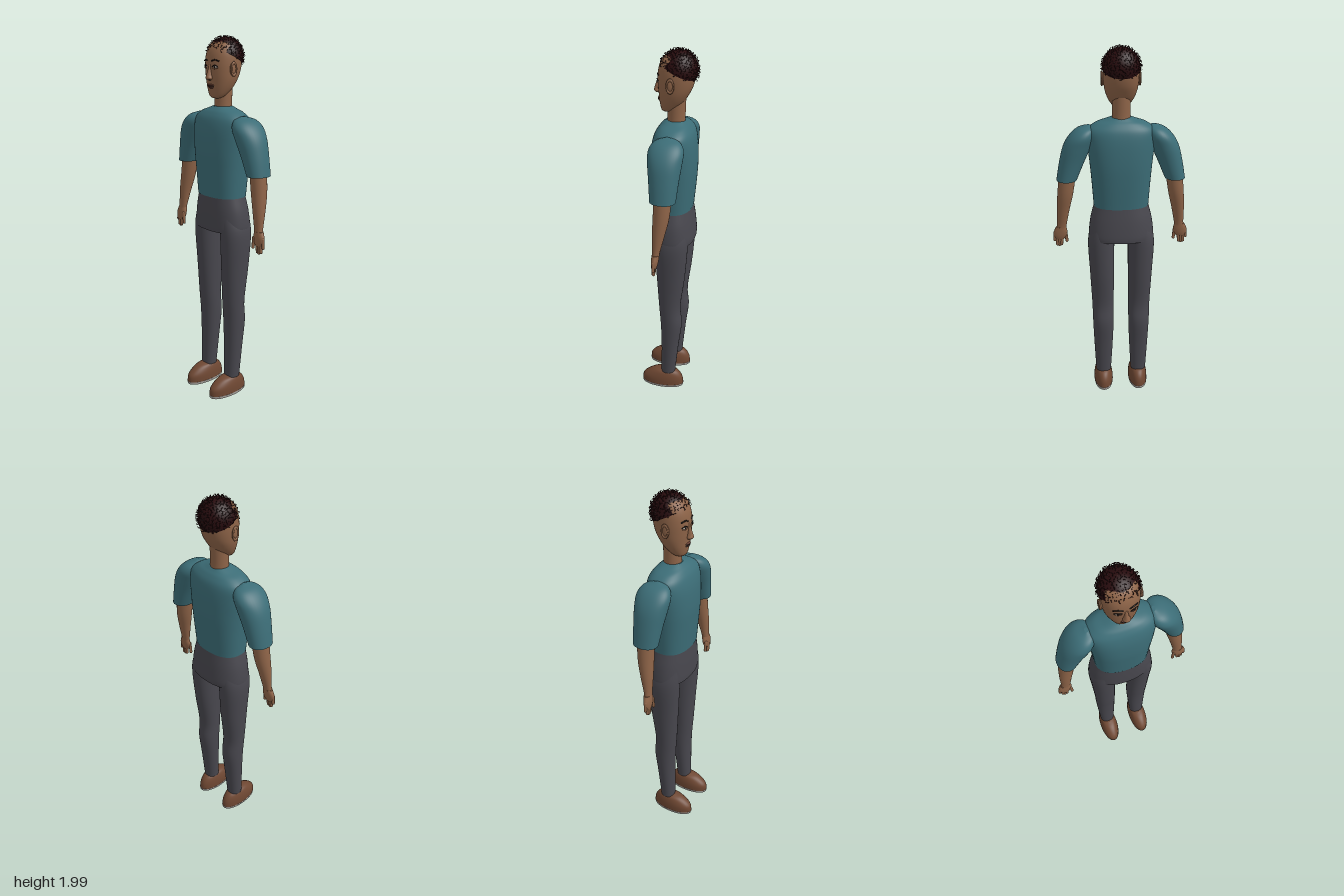
import * as THREE from 'three';
import { mergeGeometries } from 'three/addons/utils/BufferGeometryUtils.js';

const mat = (name, color) => {
  const m = new THREE.MeshStandardMaterial({ color });
  m.name = name;
  return m;
};

// Smooth stack of rounded cross-sections: rows of [y, centreX, centreZ, radiusX, radiusZ], bottom to top
function loft(rows, power = 2, seg = 36, steps = 5) {
  const mid = new THREE.CatmullRomCurve3(rows.map(r => new THREE.Vector3(r[1], r[0], r[2])), false, 'catmullrom');
  const rad = new THREE.CatmullRomCurve3(rows.map(r => new THREE.Vector3(r[3], 0, r[4])), false, 'catmullrom');
  const pos = [], idx = [], n = (rows.length - 1) * steps;
  const sp = v => Math.sign(v) * Math.pow(Math.abs(v), 2 / power);
  const ring = t => {
    const c = mid.getPoint(t), r = rad.getPoint(t);
    for (let j = 0; j < seg; j++) {
      const a = j / seg * Math.PI * 2;
      pos.push(c.x + r.x * sp(Math.cos(a)), c.y, c.z + r.z * sp(Math.sin(a)));
    }
    return c;
  };
  for (let i = 0; i <= n; i++) ring(i / n);
  for (let i = 0; i < n; i++) for (let j = 0; j < seg; j++) {
    const k = (j + 1) % seg, a = i * seg, b = a + seg;
    idx.push(a + j, b + j, a + k, a + k, b + j, b + k);
  }
  // end caps with their own vertices, so the rims stay sharp
  for (const t of [0, 1]) {
    const s = pos.length / 3, c = ring(t);
    pos.push(c.x, c.y, c.z);
    for (let j = 0; j < seg; j++) {
      const k = (j + 1) % seg;
      if (t) idx.push(s + seg, s + k, s + j); else idx.push(s + seg, s + j, s + k);
    }
  }
  const g = new THREE.BufferGeometry();
  g.setAttribute('position', new THREE.Float32BufferAttribute(pos, 3));
  g.setIndex(idx);
  g.computeVertexNormals();
  return g;
}

const ball = (x, y, z, rx, ry, rz) => new THREE.SphereGeometry(1, 20, 14).scale(rx, ry, rz).translate(x, y, z);
const tube = (pts, r) => new THREE.TubeGeometry(
  new THREE.CatmullRomCurve3(pts.map(p => new THREE.Vector3(...p))), 10, r, 6);

export function createModel() {
  const M = {
    skin: mat('skin', 0x8e6448), shirt: mat('teal shirt', 0x3c6d77), pants: mat('grey trousers', 0x48474e),
    shoe: mat('brown shoe', 0x6e4732), sole: mat('pale sole', 0xa8a39e), hair: mat('dark hair', 0x280c0e),
    dark: mat('dark detail', 0x17100e), white: mat('eye white', 0xc4b8ac), lip: mat('lip', 0x6a4034),
  };
  const model = new THREE.Group();
  const add = (name, geo, m, parent = model) => {
    const mesh = new THREE.Mesh(geo, m);
    mesh.name = name;
    parent.add(mesh);
    return mesh;
  };

  // Clothes on the trunk
  add('shirtBody', loft([
    [1.155, 0, -0.024, 0.147, 0.102], [1.3, 0, -0.025, 0.157, 0.114], [1.4, 0, -0.025, 0.166, 0.119],
    [1.5, 0, -0.026, 0.176, 0.114], [1.565, 0, -0.028, 0.174, 0.1], [1.6, 0, -0.028, 0.135, 0.079],
    [1.618, 0, -0.028, 0.085, 0.06], [1.63, 0, -0.029, 0.052, 0.046]], 2.4, 48), M.shirt);
  add('hips', loft([
    [0.967, 0, -0.031, 0.174, 0.111], [1.0, 0, -0.031, 0.176, 0.112], [1.08, 0, -0.028, 0.166, 0.107],
    [1.16, 0, -0.024, 0.145, 0.099]], 2.3, 48), M.pants);
  add('neck', loft([
    [1.59, 0, -0.033, 0.05, 0.05], [1.64, 0, -0.033, 0.047, 0.046], [1.75, 0, -0.035, 0.047, 0.047]]), M.skin);

  for (const s of [1, -1]) {
    const limb = new THREE.Group();
    limb.name = s > 0 ? 'leftSide' : 'rightSide';
    model.add(limb);
    const put = (name, geo, m) => add(name, geo, m, limb);

    // Sleeve, arm and hand
    put('sleeve', loft([
      [1.3, s * 0.287, -0.027, 0.054, 0.066], [1.4, s * 0.257, -0.026, 0.066, 0.076],
      [1.48, s * 0.228, -0.025, 0.074, 0.086], [1.535, s * 0.202, -0.025, 0.068, 0.088],
      [1.572, s * 0.182, -0.025, 0.046, 0.064], [1.59, s * 0.168, -0.025, 0.008, 0.014]], 2.1), M.shirt);
    put('arm', loft([
      [0.99, s * 0.329, 0.003, 0.027, 0.018], [1.03, s * 0.322, 0.0, 0.026, 0.02],
      [1.12, s * 0.312, -0.01, 0.034, 0.032], [1.22, s * 0.297, -0.022, 0.042, 0.042],
      [1.34, s * 0.281, -0.027, 0.045, 0.045]]), M.skin);
    put('palm', loft([
      [0.945, s * 0.335, 0.008, 0.024, 0.013], [0.965, s * 0.333, 0.006, 0.034, 0.017],
      [0.99, s * 0.33, 0.004, 0.037, 0.019], [1.02, s * 0.326, 0.001, 0.028, 0.019]]), M.skin);
    // fingers: top x, top y, bottom x, bottom y
    for (const [x0, y0, x1, y1, z] of [[0.302, 0.985, 0.297, 0.93, 0.014], [0.322, 0.965, 0.327, 0.912, 0.01],
      [0.336, 0.965, 0.339, 0.908, 0.01], [0.349, 0.965, 0.35, 0.913, 0.008], [0.361, 0.985, 0.364, 0.94, 0.006]]) {
      const d = new THREE.Vector2(x0 - x1, y0 - y1);
      const g = new THREE.CapsuleGeometry(0.0085, d.length(), 4, 10).rotateZ(-s * Math.atan2(d.x, d.y));
      put('finger', g.translate(s * (x0 + x1) / 2, (y0 + y1) / 2, z), M.skin);
    }

    // Trouser leg and shoe
    put('trouserLeg', loft([
      [0.1, s * 0.103, -0.013, 0.044, 0.041], [0.3, s * 0.102, -0.024, 0.054, 0.05],
      [0.44, s * 0.102, -0.03, 0.059, 0.06], [0.56, s * 0.103, -0.022, 0.061, 0.06],
      [0.75, s * 0.106, -0.028, 0.067, 0.077], [0.95, s * 0.109, -0.03, 0.072, 0.09],
      [1.06, s * 0.095, -0.028, 0.062, 0.088]], 2.15), M.pants);
    put('shoe', loft([
      [0.014, s * 0.103, 0.02, 0.055, 0.124], [0.05, s * 0.103, 0.02, 0.053, 0.119],
      [0.078, s * 0.103, 0.013, 0.047, 0.098], [0.098, s * 0.103, 0.006, 0.037, 0.069],
      [0.107, s * 0.103, 0.003, 0.018, 0.036]], 2.1), M.shoe);
    put('sole', loft([
      [0, s * 0.103, 0.02, 0.054, 0.123], [0.015, s * 0.103, 0.02, 0.056, 0.125]], 2.1, 36, 1), M.sole);

    // Ear with a raised rim
    put('ear', ball(s * 0.091, 1.822, -0.02, 0.009, 0.034, 0.019), M.skin);
    put('earRim', new THREE.TorusGeometry(0.017, 0.0045, 8, 24).scale(1, 1.8, 1)
      .rotateY(Math.PI / 2).translate(s * 0.097, 1.823, -0.021), M.skin);

    // Eye, lids and brow
    put('eyeWhite', ball(s * 0.036, 1.833, 0.05, 0.015, 0.007, 0.007), M.white);
    put('iris', ball(s * 0.036, 1.833, 0.0545, 0.006, 0.0065, 0.004), M.dark);
    put('upperLid', tube([[s * 0.019, 1.833, 0.058], [s * 0.036, 1.842, 0.057], [s * 0.054, 1.833, 0.047]], 0.0025), M.dark);
    put('lowerLid', tube([[s * 0.02, 1.829, 0.058], [s * 0.036, 1.824, 0.056], [s * 0.052, 1.83, 0.048]], 0.003), M.skin);
    put('brow', tube([[s * 0.015, 1.861, 0.059], [s * 0.035, 1.868, 0.055], [s * 0.058, 1.861, 0.044]], 0.0035), M.dark);
    put('nostril', ball(s * 0.009, 1.769, 0.066, 0.005, 0.003, 0.006), M.dark);
  }

  // Head
  add('head', loft([
    [1.673, 0, 0.014, 0.022, 0.018], [1.685, 0, 0.008, 0.044, 0.035], [1.72, 0, -0.009, 0.066, 0.059],
    [1.76, 0, -0.021, 0.081, 0.075], [1.8, 0, -0.029, 0.088, 0.087], [1.85, 0, -0.034, 0.091, 0.094],
    [1.9, 0, -0.037, 0.088, 0.09], [1.94, 0, -0.04, 0.074, 0.074], [1.965, 0, -0.042, 0.045, 0.045]], 2.15), M.skin);
  add('nose', loft([
    [1.766, 0, 0.061, 0.012, 0.01], [1.776, 0, 0.063, 0.019, 0.018], [1.79, 0, 0.06, 0.014, 0.019],
    [1.82, 0, 0.056, 0.009, 0.013], [1.85, 0, 0.054, 0.008, 0.007]], 2, 20), M.skin);
  add('upperLip', ball(0, 1.741, 0.052, 0.023, 0.005, 0.009), M.lip);
  add('lowerLip', ball(0, 1.729, 0.049, 0.019, 0.006, 0.009), M.lip);
  add('mouthLine', tube([[-0.024, 1.735, 0.052], [0, 1.736, 0.0605], [0.024, 1.735, 0.052]], 0.0018), M.dark);

  // Hair cap, tilted lower at the back, covered in tiny curls
  const hair = new THREE.Group();
  hair.name = 'hair';
  hair.position.set(0, 1.878, -0.042);
  hair.rotation.x = -0.45;
  model.add(hair);
  const R = 0.096;
  add('hairCap', new THREE.SphereGeometry(R, 40, 20, 0, Math.PI * 2, 0, Math.PI * 0.5).scale(1, 1.08, 1), M.hair, hair);
  add('hairUnderside', new THREE.CircleGeometry(R, 40).rotateX(Math.PI / 2), M.hair, hair);
  let seed = 7;
  const rnd = () => (seed = (seed * 16807) % 2147483647) / 2147483647;
  const curls = [], dummy = new THREE.Object3D();
  for (let i = 0; i < 210; i++) {
    const h = (i + 0.5) / 210, a = i * 2.39996, w = Math.sqrt(1 - h * h);
    dummy.position.set(w * Math.cos(a), h * 1.08, w * Math.sin(a)).multiplyScalar(R + 0.002);
    dummy.rotation.set(rnd() * 6.28, rnd() * 6.28, rnd() * 6.28);
    dummy.updateMatrix();
    curls.push(new THREE.TorusGeometry(0.005 + rnd() * 0.004, 0.0016, 5, 9, 4.4).applyMatrix4(dummy.matrix));
  }
  add('curls', mergeGeometries(curls), M.hair, hair);

  return model;
}
